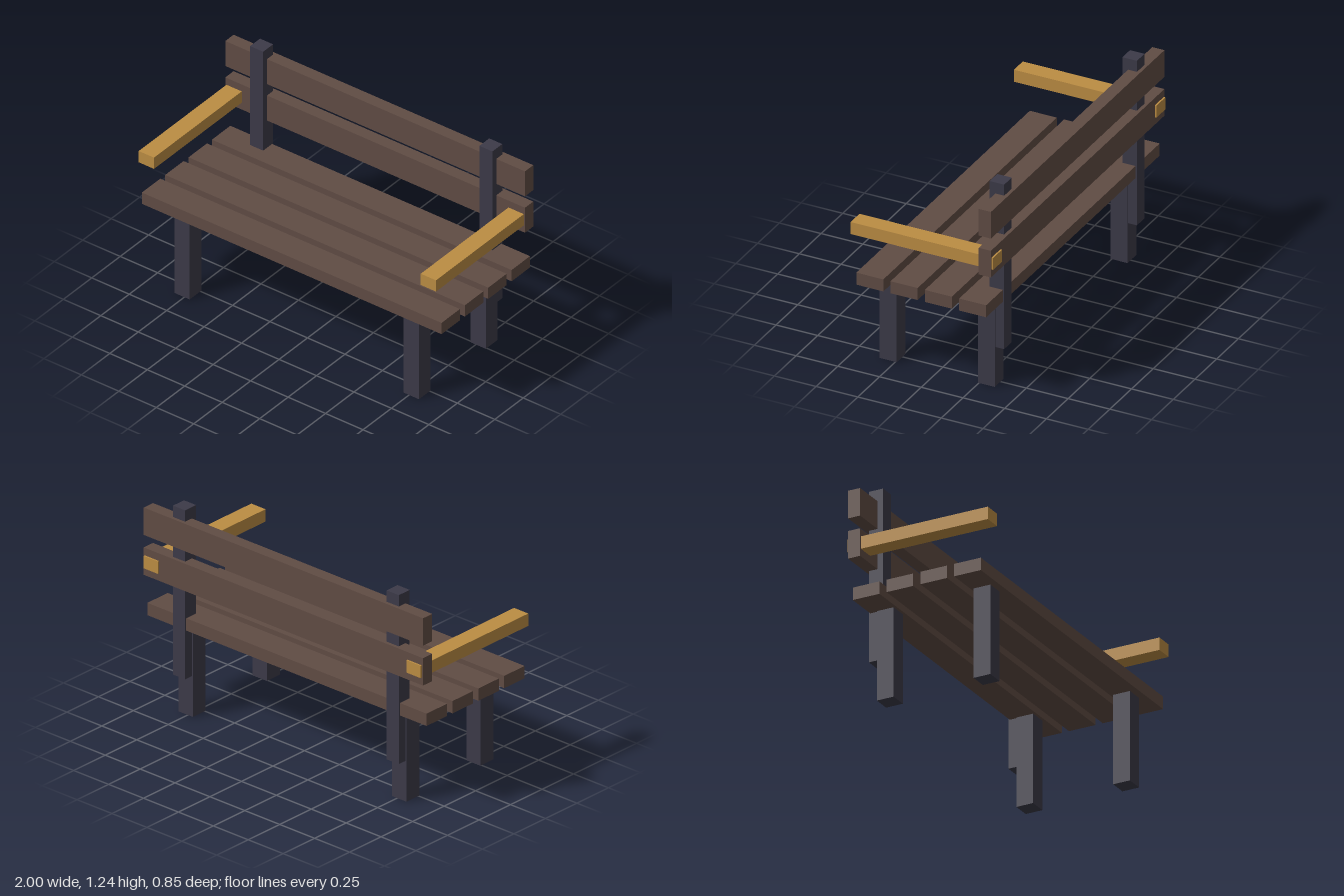
import * as THREE from 'three';

const mat = (name, color) => {
  const m = new THREE.MeshStandardMaterial({ color });
  m.name = name;
  return m;
};

export function createModel() {
  const bench = new THREE.Group();
  bench.name = 'bench';
  const wood = mat('brown wood', 0x604c44);
  const iron = mat('dark frame', 0x3c3a48);
  const gold = mat('golden wood', 0xbc8d43);

  const box = (name, material, [w, h, d], [x, y, z]) => {
    const mesh = new THREE.Mesh(new THREE.BoxGeometry(w, h, d), material);
    mesh.name = name;
    mesh.position.set(x, y, z);
    bench.add(mesh);
  };

  // Seat slats, front to back
  for (let i = 0; i < 4; i++) {
    box(`seatSlat${i + 1}`, wood, [2, 0.073, 0.162], [0, 0.561, 0.308 - i * 0.2053]);
  }

  // Backrest slats
  box('upperBackSlat', wood, [2, 0.162, 0.073], [0, 1.091, -0.381]);
  box('lowerBackSlat', wood, [2, 0.162, 0.073], [0, 0.855, -0.381]);

  // Legs, back posts and armrests, mirrored left and right
  for (const [side, s] of [['left', 1], ['right', -1]]) {
    box(`${side}FrontLeg`, iron, [0.102, 0.525, 0.102], [s * 0.765, 0.2625, 0.294]);
    box(`${side}BackLeg`, iron, [0.102, 0.525, 0.102], [s * 0.765, 0.2625, -0.294]);
    box(`${side}BackPost`, iron, [0.087, 1, 0.087], [s * 0.765, 0.739, -0.354]);
    box(`${side}Armrest`, gold, [0.102, 0.073, 0.854], [s * 0.941, 0.855, 0]);
  }

  return bench;
}
